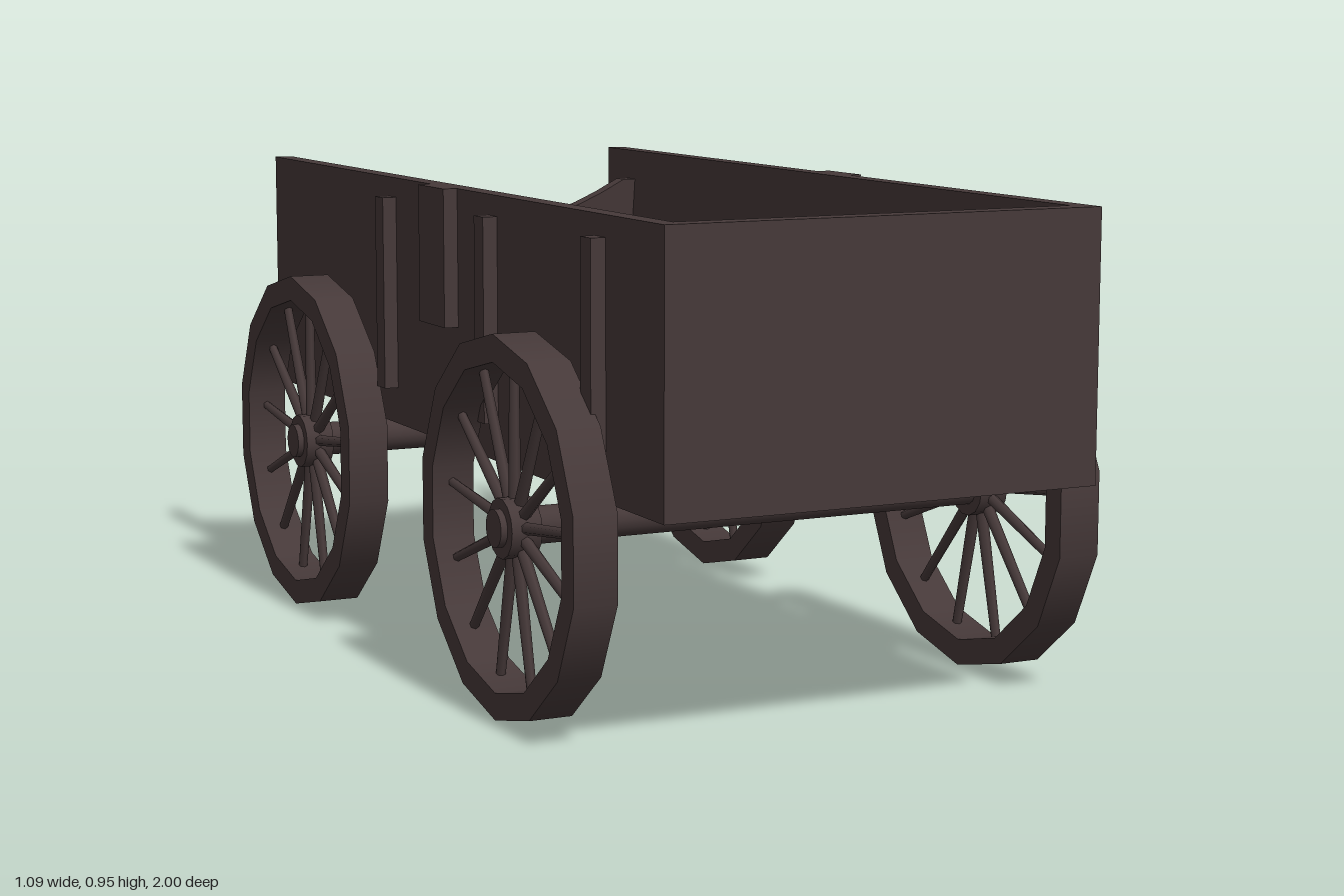
import * as THREE from 'three';
import { mergeGeometries } from 'three/addons/utils/BufferGeometryUtils.js';

const wood = new THREE.MeshStandardMaterial({ color: 0x463939 });
wood.name = 'darkWood';

function add(parent, name, geometry, x = 0, y = 0, z = 0) {
  const mesh = new THREE.Mesh(geometry, wood);
  mesh.name = name;
  mesh.position.set(x, y, z);
  parent.add(mesh);
  return mesh;
}

// Box given by its minimum and maximum corners
function block(parent, name, x0, x1, y0, y1, z0, z1) {
  return add(parent, name, new THREE.BoxGeometry(x1 - x0, y1 - y0, z1 - z0),
    (x0 + x1) / 2, (y0 + y1) / 2, (z0 + z1) / 2);
}

// Faceted ring around the x axis: sharp rims, soft shading around the wheel
function ringGeometry(inner, outer, width, sides) {
  const h = width / 2;
  const profile = [[outer, -h], [outer, h], [inner, h], [inner, -h]].map(p => new THREE.Vector2(...p));
  const bands = profile.map((p, i) => new THREE.LatheGeometry([p, profile[(i + 1) % 4]], sides));
  return mergeGeometries(bands).rotateX(-Math.PI / 2).rotateY(Math.PI / 2);
}

function makeWheel(name) {
  const wheel = new THREE.Group();
  wheel.name = name;
  add(wheel, 'rim', ringGeometry(0.308, 0.36, 0.085, 14));
  add(wheel, 'hub', new THREE.CylinderGeometry(0.057, 0.057, 0.06, 14).rotateZ(Math.PI / 2));
  const spokes = 13;
  for (let i = 0; i < spokes; i++) {
    const spoke = new THREE.CylinderGeometry(0.009, 0.012, 0.29, 6);
    spoke.translate(0, 0.18, 0).rotateX((i / spokes) * Math.PI * 2);
    add(wheel, 'spoke', spoke);
  }
  return wheel;
}

// Sloping tailgate with a scooped top edge
function tailgateGeometry() {
  const shape = new THREE.Shape();
  shape.moveTo(-0.4, 0.46);
  shape.lineTo(0.4, 0.46);
  shape.lineTo(0.4, 0.885);
  shape.lineTo(0.37, 0.885);
  shape.quadraticCurveTo(0, 0.67, -0.37, 0.885);
  shape.lineTo(-0.4, 0.885);
  const geometry = new THREE.ExtrudeGeometry(shape, { depth: 0.037, bevelEnabled: false, curveSegments: 14 });
  const p = geometry.attributes.position;
  for (let i = 0; i < p.count; i++) {
    p.setZ(i, p.getZ(i) - 0.945 + (p.getY(i) - 0.46) * 0.13);
  }
  geometry.computeVertexNormals();
  return geometry;
}

export function createModel() {
  const wagon = new THREE.Group();
  wagon.name = 'wagon';

  // Cargo box
  block(wagon, 'floor', -0.4, 0.4, 0.443, 0.475, -1, 0.955);
  block(wagon, 'frontBoard', -0.4, 0.4, 0.443, 0.952, 0.955, 1);
  add(wagon, 'tailgate', tailgateGeometry());

  for (const side of [1, -1]) {
    const label = side > 0 ? 'left' : 'right';
    const span = (a, b) => (side > 0 ? [a, b] : [-b, -a]);
    block(wagon, label + 'SideBoard', ...span(0.4, 0.438), 0.443, 0.952, -1, 1);

    // Upright battens and the small plate on the outside
    for (const z of [0.747, 0.265, -0.263]) {
      block(wagon, label + 'Batten', ...span(0.435, 0.467), 0.518, 0.912, z - 0.022, z + 0.022);
    }
    block(wagon, label + 'SidePlate', ...span(0.435, 0.467), 0.68, 0.952, -0.042, 0.09);

    // Wheels
    for (const [end, z] of [['Front', 0.51], ['Rear', -0.605]]) {
      const wheel = makeWheel(label + end + 'Wheel');
      wheel.position.set(side * 0.501, 0.36, z);
      wagon.add(wheel);
    }

    // Splayed arm from the reach beam to the front axle
    const dx = 0.22, dz = 0.34;
    const arm = add(wagon, label + 'ReachArm',
      new THREE.BoxGeometry(0.05, 0.045, Math.hypot(dx, dz)), side * dx / 2, 0.367, 0.16 + dz / 2);
    arm.rotation.y = side * Math.atan2(dx, dz);
  }

  // Axles and the beam joining them
  for (const [end, z] of [['front', 0.51], ['rear', -0.605]]) {
    add(wagon, end + 'Axle', new THREE.CylinderGeometry(0.036, 0.036, 1.088, 16).rotateZ(Math.PI / 2), 0, 0.361, z);
  }
  block(wagon, 'reachBeam', -0.045, 0.045, 0.336, 0.367, -0.605, 0.51);

  return wagon;
}
